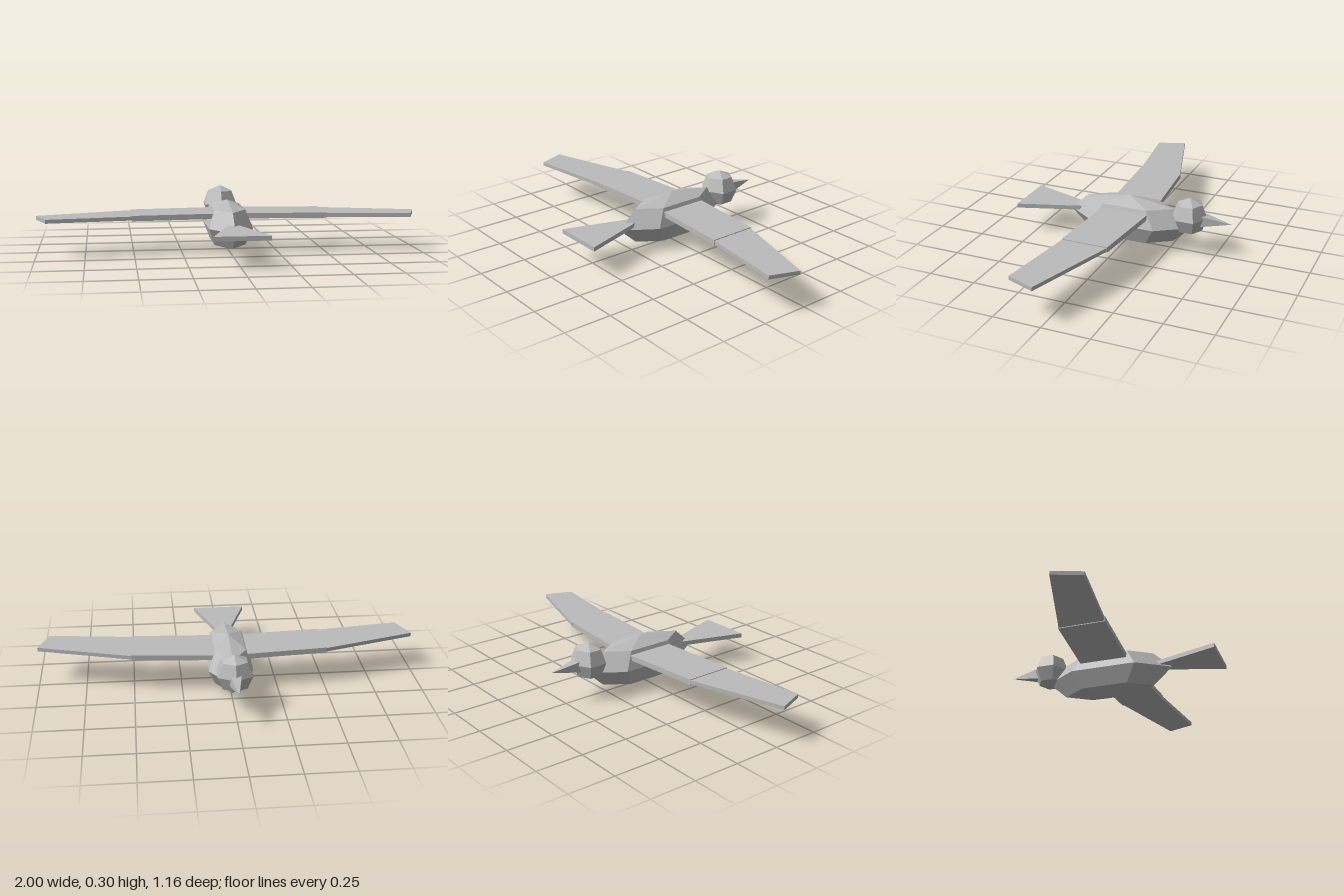
import * as THREE from 'three';

export function createModel() {
  const bird = new THREE.Group();
  bird.name = 'bird';
  const grey = new THREE.MeshStandardMaterial({ color: 0xbbbbbb, flatShading: true });
  grey.name = 'grey';

  function add(name, geometry, x = 0, y = 0, z = 0) {
    const mesh = new THREE.Mesh(geometry, grey);
    mesh.name = name;
    mesh.position.set(x, y, z);
    bird.add(mesh);
  }

  // Six-sided ball with corners pointing forward and back
  const ball = (rx, ry, rz) =>
    new THREE.SphereGeometry(1, 6, 4).rotateY(Math.PI / 2).scale(rx, ry, rz);

  // Flat plate from an outline of [x, z] points, hanging down from its top
  function plate(name, outline, top, thickness) {
    const shape = new THREE.Shape(outline.map(([x, z]) => new THREE.Vector2(x, z)));
    const geometry = new THREE.ExtrudeGeometry(shape, { depth: thickness, bevelEnabled: false });
    add(name, geometry.rotateX(Math.PI / 2), 0, top, 0);
  }

  add('body', ball(0.132, 0.131, 0.345), 0, 0.131, -0.02);
  add('head', ball(0.102, 0.101, 0.095), 0, 0.199, -0.355);

  // Four-sided beak pointing forward
  const beak = new THREE.ConeGeometry(0.042, 0.16, 4).rotateY(Math.PI / 4).rotateX(-Math.PI / 2);
  add('beak', beak, 0, 0.19, -0.5);

  // Two-part wings, mirrored
  const inner = [[0.04, -0.155], [0.51, -0.114], [0.51, 0.13], [0.04, 0.1]];
  const outer = [[0.495, -0.116], [1, 0.037], [0.945, 0.185], [0.495, 0.126]];
  for (const [side, s] of [['left', 1], ['right', -1]]) {
    const mirror = (points) => points.map(([x, z]) => [x * s, z]);
    plate(side + 'InnerWing', mirror(inner), 0.204, 0.028);
    plate(side + 'OuterWing', mirror(outer), 0.2, 0.02);
  }

  // Fanned tail
  plate('tail', [[-0.02, 0.22], [0.02, 0.22], [0.14, 0.583], [-0.14, 0.583]], 0.163, 0.023);

  return bird;
}
